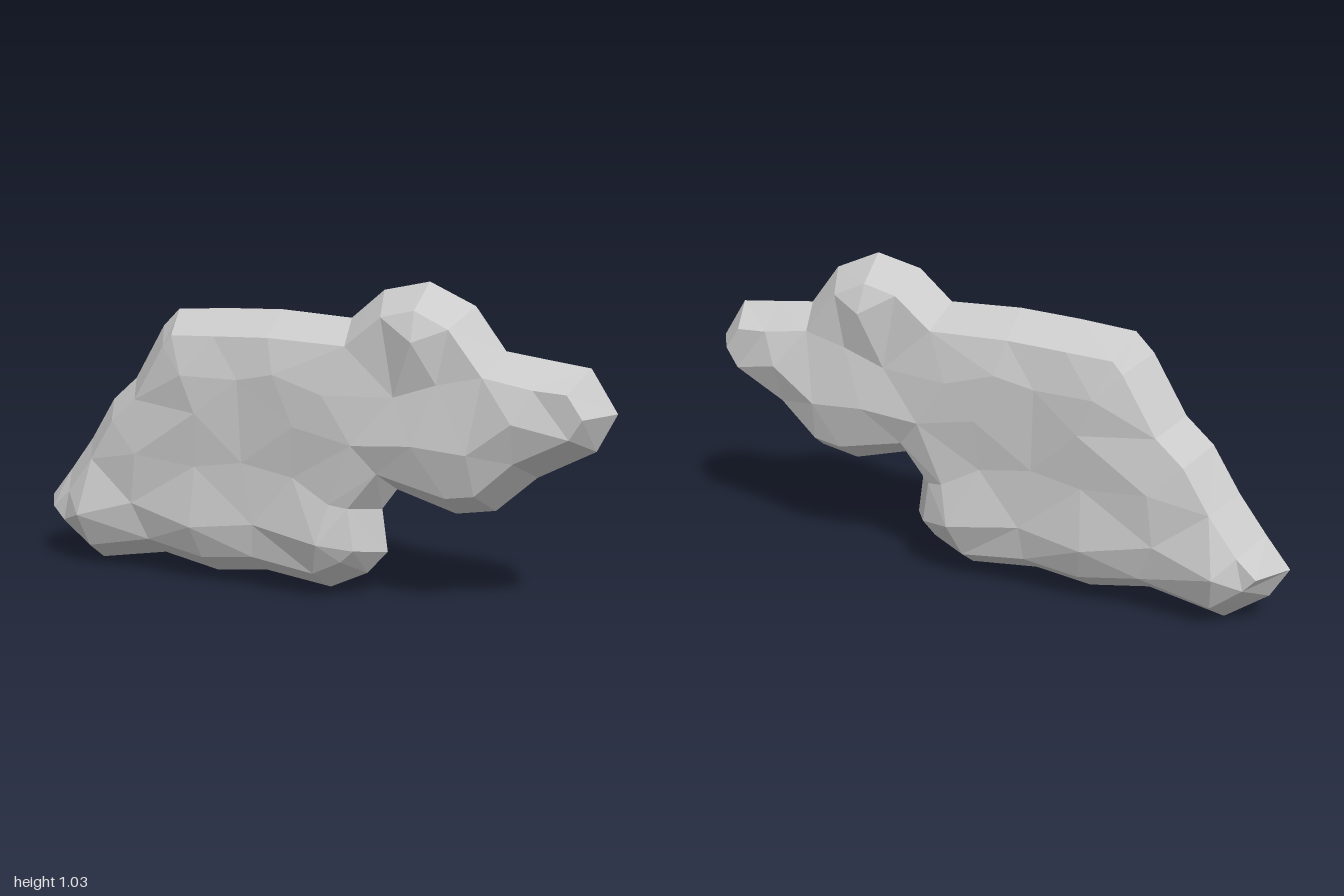
import * as THREE from 'three';

// Cloud silhouette, counter-clockwise, in the z = 0 plane
const outline = [
  [-1, 0.2], [-0.94, 0.1], [-0.8, 0], [-0.55, 0.05], [-0.35, 0.015], [-0.16, 0.04],
  [0.07, 0.015], [0.2, 0.08], [0.27, 0.16], [0.25, 0.3], [0.3, 0.37], [0.5, 0.315],
  [0.63, 0.34], [0.76, 0.46], [0.94, 0.56], [1, 0.68], [0.915, 0.81], [0.78, 0.825],
  [0.65, 0.84], [0.55, 0.97], [0.4, 1.035], [0.25, 1], [0.14, 0.905], [-0.1, 0.915],
  [-0.3, 0.905], [-0.48, 0.89], [-0.54, 0.83], [-0.65, 0.645], [-0.74, 0.565],
  [-0.83, 0.42], [-0.92, 0.3],
].map(([x, y]) => new THREE.Vector3(x, y, 0));

// Puffs (high z) and the shallow valleys between them (low z)
const puffs = [
  [-0.8, 0.19, 0.16], [-0.6, 0.25, 0.135], [-0.37, 0.2, 0.155], [-0.15, 0.23, 0.13],
  [0.09, 0.2, 0.16], [0.12, 0.33, 0.13], [-0.58, 0.42, 0.14], [-0.36, 0.4, 0.13],
  [-0.19, 0.43, 0.125], [-0.01, 0.4, 0.12], [-0.35, 0.58, 0.145], [0, 0.57, 0.14],
  [0.2, 0.53, 0.14], [-0.2, 0.7, 0.13], [-0.4, 0.7, 0.145], [-0.07, 0.73, 0.14],
  [0.1, 0.68, 0.14], [0.33, 0.69, 0.115], [0.4, 0.87, 0.15], [0.47, 0.74, 0.115],
  [0.4, 0.55, 0.145], [0.58, 0.54, 0.145], [0.72, 0.65, 0.15],
].map((p) => new THREE.Vector3(...p));

// Shrinks a loop inwards and lifts it to height z
function inset(loop, distance, z) {
  const n = loop.length;
  const inward = (a, b) => new THREE.Vector3(a.y - b.y, b.x - a.x, 0).normalize();
  return loop.map((p, i) => {
    const before = inward(loop[(i + n - 1) % n], p);
    const after = inward(p, loop[(i + 1) % n]);
    const q = before.add(after).setLength(distance).add(p);
    return q.setZ(z);
  });
}

const cross = (a, b, c) => (b.x - a.x) * (c.y - a.y) - (b.y - a.y) * (c.x - a.x);

// True when d is inside the circle through the counter-clockwise corners a, b, c
function inCircle(a, b, c, d) {
  const [p, q, r] = [a, b, c].map((v) => {
    const x = v.x - d.x, y = v.y - d.y;
    return [x, y, x * x + y * y];
  });
  return new THREE.Matrix3().set(...p, ...q, ...r).determinant() > 1e-12;
}

function insideLoop(x, y, loop) {
  let inside = false;
  loop.forEach((a, i) => {
    const b = loop[(i + 1) % loop.length];
    if (a.y > y !== b.y > y && x < ((b.x - a.x) * (y - a.y)) / (b.y - a.y) + a.x) inside = !inside;
  });
  return inside;
}

// Evenly shaped triangles over the points, kept to the inside of the loop
function triangulate(points, loop) {
  const triangles = [];
  const n = points.length;
  for (let i = 0; i < n; i++) for (let j = i + 1; j < n; j++) for (let k = j + 1; k < n; k++) {
    let [a, b, c] = [points[i], points[j], points[k]];
    const area = cross(a, b, c);
    if (Math.abs(area) < 1e-6) continue;
    if (area < 0) [b, c] = [c, b];
    if (!insideLoop((a.x + b.x + c.x) / 3, (a.y + b.y + c.y) / 3, loop)) continue;
    if (!points.some((d) => d !== a && d !== b && d !== c && inCircle(a, b, c, d))) triangles.push([a, b, c]);
  }
  return triangles;
}

export function createModel() {
  const shoulder = inset(outline, 0.075, 0.11);
  const triangles = triangulate([...shoulder, ...puffs], shoulder);

  // Bevelled rim from the silhouette to the shoulder
  outline.forEach((a, i) => {
    const j = (i + 1) % outline.length;
    triangles.push([a, outline[j], shoulder[j]], [a, shoulder[j], shoulder[i]]);
  });

  // Front half, then its mirror image for the back
  const positions = [];
  for (const [a, b, c] of triangles) {
    for (const v of [a, b, c]) positions.push(v.x, v.y, v.z);
    for (const v of [a, c, b]) positions.push(v.x, v.y, -v.z);
  }
  const geometry = new THREE.BufferGeometry();
  geometry.setAttribute('position', new THREE.Float32BufferAttribute(positions, 3));
  geometry.computeVertexNormals();

  const cloud = new THREE.Mesh(
    geometry,
    new THREE.MeshStandardMaterial({ color: 0xcccccc, flatShading: true })
  );
  cloud.name = 'cloud';
  const group = new THREE.Group();
  group.name = 'lowPolyCloud';
  group.add(cloud);
  return group;
}
